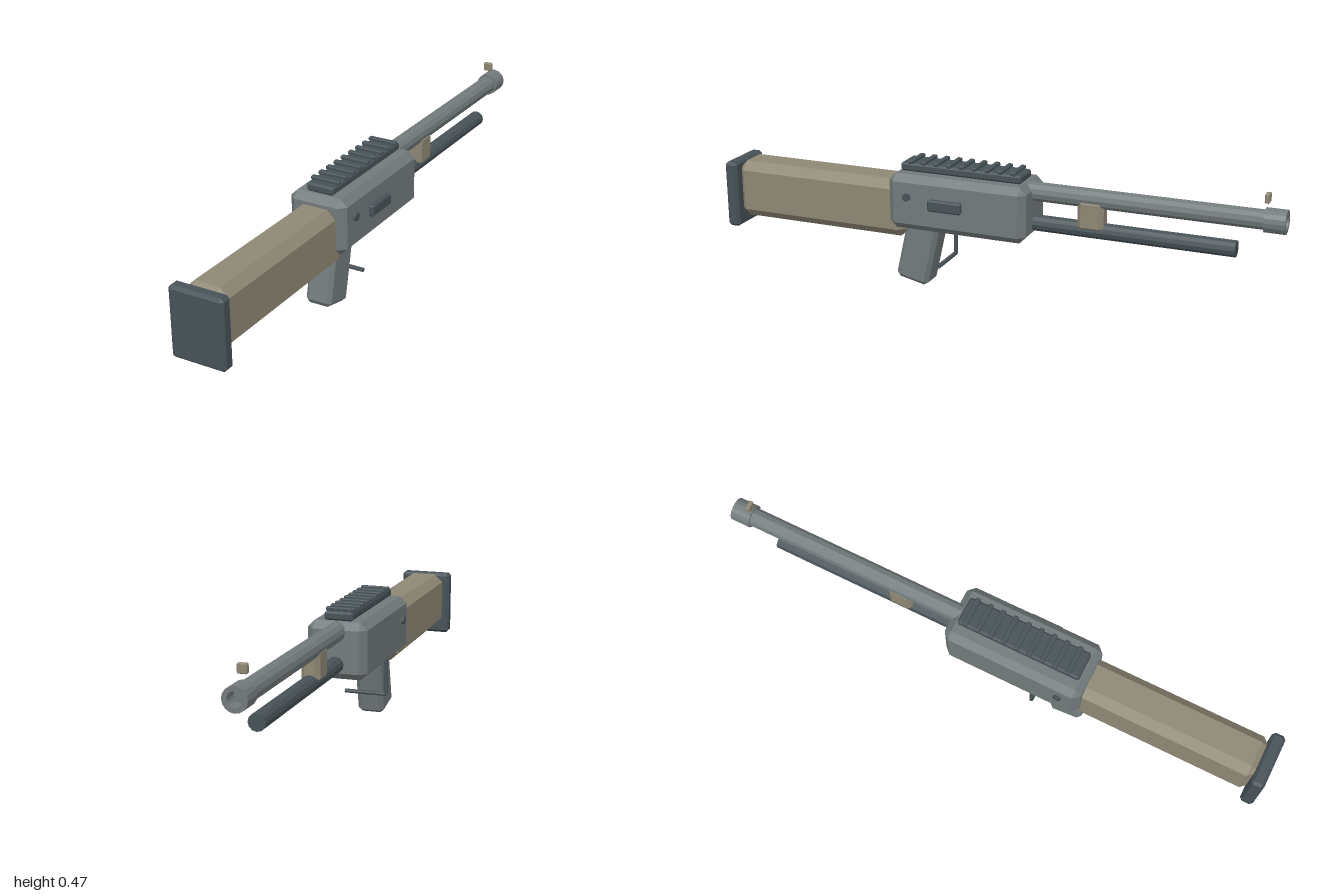
import * as THREE from 'three';
import { ConvexGeometry } from 'three/addons/geometries/ConvexGeometry.js';

const CX = -0.007; // centre line of the body

const material = (name, color) => {
  const m = new THREE.MeshStandardMaterial({ color, flatShading: true });
  m.name = name;
  return m;
};

// Box between two corners with every edge cut by c
function chamferBox(w, h, d, c) {
  const points = [];
  for (const x of [-1, 1]) for (const y of [-1, 1]) for (const z of [-1, 1]) {
    const [a, b, e] = [w / 2, h / 2, d / 2];
    points.push(
      new THREE.Vector3(x * a, y * (b - c), z * (e - c)),
      new THREE.Vector3(x * (a - c), y * b, z * (e - c)),
      new THREE.Vector3(x * (a - c), y * (b - c), z * e));
  }
  return new ConvexGeometry(points);
}

export function createModel() {
  const group = new THREE.Group();
  group.name = 'rifle';
  const grey = material('metal grey', 0x727a7b);
  const dark = material('dark steel', 0x475257);
  const tan = material('tan', 0x8e8774);

  function add(name, geometry, mat, x, y, z) {
    const mesh = new THREE.Mesh(geometry, mat);
    mesh.name = name;
    mesh.position.set(x, y, z);
    group.add(mesh);
    return mesh;
  }
  // Chamfered box given by its extents in y and z
  const block = (name, mat, w, y0, y1, z0, z1, c, x = CX) =>
    add(name, chamferBox(w, y1 - y0, z1 - z0, c), mat, x, (y0 + y1) / 2, (z0 + z1) / 2);
  // Rod along z
  const rod = (name, mat, r, y, z0, z1) =>
    add(name, new THREE.CylinderGeometry(r, r, z1 - z0, 12).rotateX(Math.PI / 2), mat, CX - 0.001, y, (z0 + z1) / 2);

  // Body and stock
  block('receiver', grey, 0.208, 0.225, 0.42, -0.155, 0.347, 0.024);
  block('stock', tan, 0.148, 0.18, 0.385, 0.295, 0.965, 0.03);
  block('buttPad', dark, 0.192, 0.145, 0.385, 0.953, 1.0, 0.01);

  // Slanted grip
  const grip = add('grip', chamferBox(0.096, 0.26, 0.122, 0.014), grey, CX, 0.142, 0.262);
  grip.rotation.x = -0.22;

  // Barrel, lower tube and the clamp between them
  rod('barrel', grey, 0.033, 0.388, -0.95, -0.13);
  rod('lowerTube', dark, 0.028, 0.278, -0.845, -0.13);
  block('barrelClamp', tan, 0.064, 0.278, 0.388, -0.404, -0.313, 0.014);

  // Hollow muzzle collar
  const profile = [[0.024, 0], [0.024, 0.07], [0.04, 0.07], [0.04, 0], [0.024, 0]]
    .map(([r, y]) => new THREE.Vector2(r, y)).reverse();
  const collarMat = grey.clone();
  collarMat.side = THREE.DoubleSide;
  const collar = new THREE.LatheGeometry(profile, 16).rotateX(-Math.PI / 2);
  add('muzzleCollar', collar, collarMat, CX - 0.001, 0.388, -0.93);

  block('frontSight', tan, 0.032, 0.446, 0.477, -0.943, -0.927, 0.003);

  // Top rail with cross slats
  block('railBase', dark, 0.099, 0.42, 0.449, -0.124, 0.319, 0.006);
  for (let i = 0; i < 9; i++) {
    const z = 0.28 - i * 0.0468;
    block('railSlat', dark, 0.104, 0.447, 0.46, z - 0.009, z + 0.009, 0.003);
  }

  // Side cover and cross pin
  block('sideCover', dark, 0.022, 0.31, 0.35, 0.066, 0.188, 0.005, 0.106);
  add('crossPin', new THREE.CylinderGeometry(0.014, 0.014, 0.226, 10).rotateZ(Math.PI / 2), dark, CX, 0.345, 0.272);

  // Bent bar beside and across the front of the grip
  add('guardPost', new THREE.CylinderGeometry(0.0075, 0.0075, 0.137, 8), dark, -0.083, 0.1665, 0.17);
  add('guardBar', new THREE.CylinderGeometry(0.0075, 0.0075, 0.15, 8).rotateZ(Math.PI / 2), dark, -0.007, 0.097, 0.17);

  return group;
}
